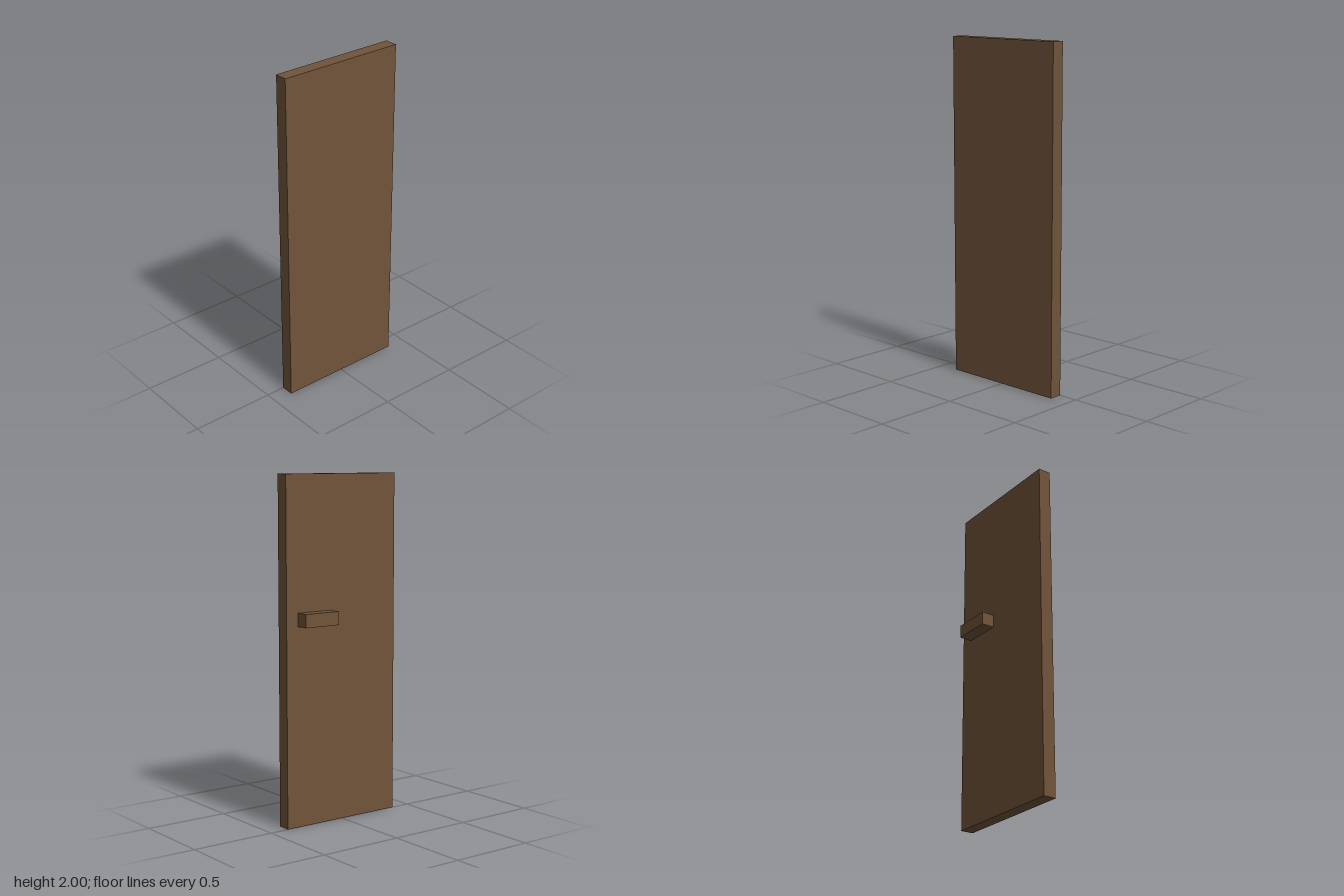
import * as THREE from 'three';

// The door is 26 units tall on a regular grid; one unit is 2 / 26.
const U = 2 / 26;

export function createModel() {
  const model = new THREE.Group();
  model.name = 'door';

  const wood = new THREE.MeshStandardMaterial({ color: 0x70543b });
  wood.name = 'brown wood';

  // Box given by its size and centre in grid units
  const addBox = (name, size, centre) => {
    const mesh = new THREE.Mesh(new THREE.BoxGeometry(...size.map((s) => s * U)), wood);
    mesh.position.set(...centre).multiplyScalar(U);
    mesh.name = name;
    model.add(mesh);
  };

  addBox('doorPanel', [10, 26, 1], [0, 13, 0.5]);
  // Handle on the back face, towards the left edge
  addBox('handle', [3, 1, 1], [2.5, 15.5, -0.5]);

  return model;
}
